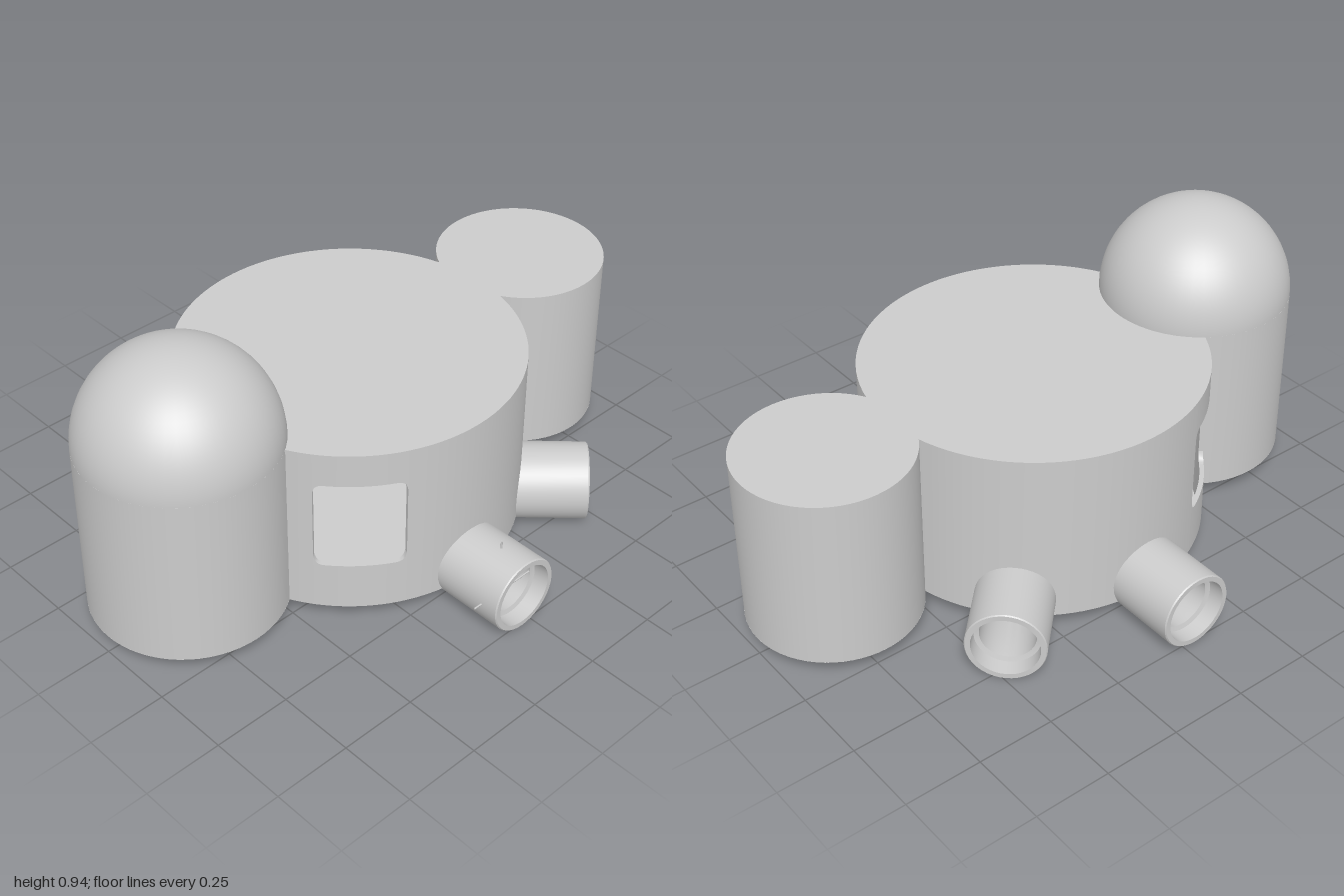
import * as THREE from 'three';
import { toCreasedNormals } from 'three/addons/utils/BufferGeometryUtils.js';

const material = new THREE.MeshStandardMaterial({ color: 0xcccccc });
const thinMaterial = new THREE.MeshStandardMaterial({ color: 0xcccccc, side: THREE.DoubleSide });
const deg = Math.PI / 180;

const FLOOR = 0.06, ROOF = 0.63, WALL = 0.015;
const hall = { z: 0.03, r: 0.54 };
const frontTower = { z: 0.69, r: 0.307 };
const backTower = { z: -0.73, r: 0.272 };

function addMesh(parent, name, geometry, mat = material) {
  const mesh = new THREE.Mesh(geometry, mat);
  mesh.name = name;
  parent.add(mesh);
  return mesh;
}

// Angle, seen from the centre of a, at which circle a meets circle b
function meetingAngle(a, b) {
  const d = Math.abs(a.z - b.z);
  return Math.acos((a.r * a.r - b.r * b.r + d * d) / (2 * d * a.r));
}

// Bent wall piece from angle a0 to a1 (0 = front, towards +x); low/high give its edges for t = 0..1
function bentWall(circle, a0, a1, columns, low = () => FLOOR, high = () => ROOF) {
  const g = new THREE.BoxGeometry(1, 1, 1, columns, 1, 1);
  const p = g.attributes.position;
  for (let i = 0; i < p.count; i++) {
    const t = p.getX(i) + 0.5;
    const a = a0 + (a1 - a0) * t;
    const r = circle.r - (0.5 - p.getZ(i)) * WALL;
    const y = THREE.MathUtils.lerp(low(t), high(t), p.getY(i) + 0.5);
    p.setXYZ(i, r * Math.sin(a), y, circle.z + r * Math.cos(a));
  }
  return toCreasedNormals(g, 0.6);
}

function disc(parent, name, circle, y) {
  const g = new THREE.CircleGeometry(circle.r, 64);
  g.rotateX(y > 0.3 ? -Math.PI / 2 : Math.PI / 2);
  g.translate(0, y, circle.z);
  addMesh(parent, name, g, thinMaterial);
}

// Open pipe along +y with a rim and a recessed inner ring
function pipeGeometry(length) {
  const profile = [
    [0.088, 0], [0.118, 0], [0.122, 0.004], [0.122, length - 0.004], [0.119, length],
    [0.103, length], [0.1, length - 0.05], [0.085, length - 0.055], [0.085, 0.01], [0.088, 0],
  ].map(([x, y]) => new THREE.Vector2(x, y));
  return toCreasedNormals(new THREE.LatheGeometry(profile, 40), 0.6);
}

function addPipe(parent, name, x, z, direction, length) {
  const pipe = addMesh(parent, name, pipeGeometry(length));
  pipe.position.set(x, 0.122, z);
  pipe.quaternion.setFromUnitVectors(new THREE.Vector3(0, 1, 0), direction.normalize());
}

export function createModel() {
  const model = new THREE.Group();
  model.name = 'building';

  // Hall walls, open where the towers join, with a rounded window on each side
  const frontGap = meetingAngle(hall, frontTower);
  const backGap = meetingAngle(hall, backTower);
  const win = { a0: 35.4 * deg, a1: 64.8 * deg, low: 0.22, high: 0.52, corner: 0.03 };
  const width = (win.a1 - win.a0) * hall.r;
  const cornerRise = (t) => {
    const into = Math.max(0, win.corner - Math.min(t, 1 - t) * width);
    return win.corner - Math.sqrt(Math.max(0, win.corner ** 2 - into ** 2));
  };
  for (const [side, s] of [['left', 1], ['right', -1]]) {
    const walls = new THREE.Group();
    walls.name = side + 'HallWall';
    model.add(walls);
    const piece = (name, a0, a1, n, low, high) =>
      addMesh(walls, name, bentWall(hall, s > 0 ? a0 : -a1, s > 0 ? a1 : -a0, n, low, high));
    piece('frontPier', frontGap, win.a0, 4);
    piece('windowSill', win.a0, win.a1, 48, undefined, (t) => win.low + cornerRise(t));
    piece('windowLintel', win.a0, win.a1, 48, (t) => win.high - cornerRise(t));
    piece('rearWall', win.a1, Math.PI - backGap, 28);
  }

  // Towers, open towards the hall
  const frontOpen = Math.PI - meetingAngle(frontTower, hall);
  const backOpen = meetingAngle(backTower, hall);
  addMesh(model, 'frontTowerWall', bentWall(frontTower, -frontOpen, frontOpen, 40));
  addMesh(model, 'backTowerWall', bentWall(backTower, backOpen, 2 * Math.PI - backOpen, 40));

  // Floors, flat roofs and the dome
  for (const [name, circle] of [['hall', hall], ['frontTower', frontTower], ['backTower', backTower]]) {
    disc(model, name + 'Floor', circle, FLOOR);
    if (circle !== frontTower) disc(model, name + 'Roof', circle, ROOF);
  }
  const dome = addMesh(model, 'dome',
    new THREE.SphereGeometry(frontTower.r, 48, 20, 0, Math.PI * 2, 0, Math.PI / 2), thinMaterial);
  dome.position.set(0, ROOF, frontTower.z);

  // Two side pipes and two diagonal pipes at the rear
  for (const [side, s] of [['left', 1], ['right', -1]]) {
    addPipe(model, side + 'SidePipe', s * 0.5, 0.04, new THREE.Vector3(s, 0, 0), 0.26);
    addPipe(model, side + 'RearPipe', s * 0.36, -0.32, new THREE.Vector3(s, 0, -1), 0.248);
  }

  // Crossed thin rods through the left side pipe
  const rod = new THREE.CylinderGeometry(0.003, 0.003, 1, 8);
  const upright = addMesh(model, 'uprightRod', rod);
  upright.scale.y = 0.26;
  upright.position.set(0.66, 0.14, 0.04);
  const crossRod = addMesh(model, 'crossRod', rod);
  crossRod.rotation.x = Math.PI / 2;
  crossRod.scale.y = 0.3;
  crossRod.position.set(0.7, 0.125, 0.04);

  return model;
}
